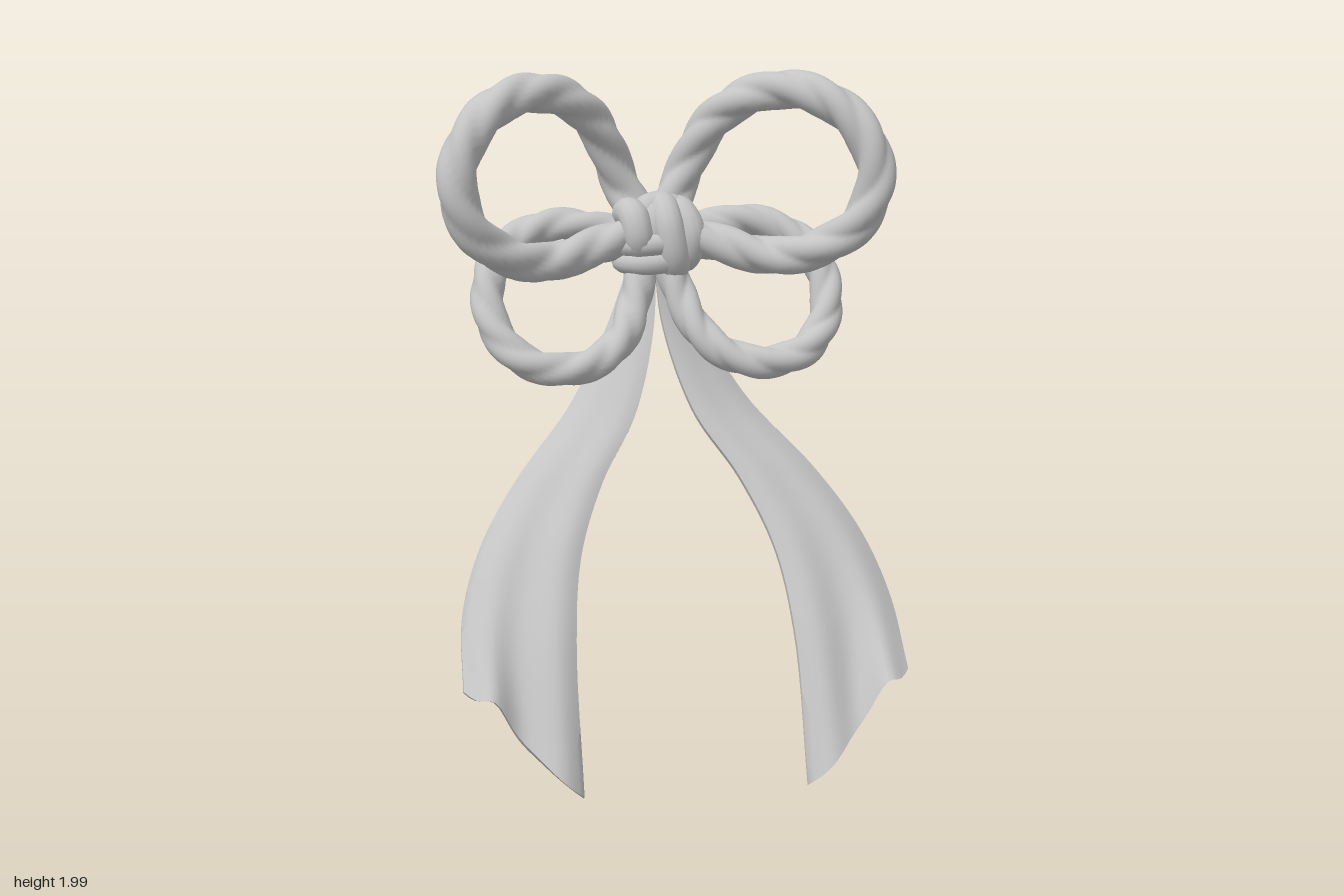
import * as THREE from 'three';
import { mergeVertices, toCreasedNormals } from 'three/addons/utils/BufferGeometryUtils.js';

const satin = new THREE.MeshStandardMaterial({ color: 0xc4c4c4 });
satin.name = 'pale grey satin';

const curveOf = (pts, s = 1) =>
  new THREE.CatmullRomCurve3(pts.map(([x, y, z]) => new THREE.Vector3(x * s, y, z)));

function mesh(name, geometry) {
  const m = new THREE.Mesh(geometry, satin);
  m.name = name;
  return m;
}

// Tube with rounded-off ends; lobes and turns make it a twisted rope
function cord(name, curve, radius, { segments = 40, sides = 12, lobes = 0, turns = 0, taper = 0.12 } = {}) {
  const g = new THREE.TubeGeometry(curve, segments, radius, sides, false);
  const pos = g.attributes.position, p = new THREE.Vector3();
  for (let i = 0; i <= segments; i++) {
    const t = i / segments, centre = curve.getPointAt(t);
    const end = Math.sqrt(Math.min(1, Math.min(t, 1 - t) / taper));
    for (let j = 0; j <= sides; j++) {
      const k = i * (sides + 1) + j;
      const phase = lobes * ((j / sides) * Math.PI + turns * t * Math.PI);
      const strand = lobes ? 0.87 + 0.22 * Math.abs(Math.cos(phase)) : 1;
      p.fromBufferAttribute(pos, k).sub(centre).multiplyScalar(strand * end).add(centre);
      pos.setXYZ(k, p.x, p.y, p.z);
    }
  }
  g.deleteAttribute('uv');
  g.deleteAttribute('normal');
  const smooth = mergeVertices(g, 1e-5);
  smooth.computeVertexNormals();
  return mesh(name, smooth);
}

// Hanging ribbon: a thin slab swept between an inner and an outer edge
function ribbon(name, s) {
  const inner = curveOf([[0, 1.46, -0.31], [0.012, 1.25, -0.245], [0.085, 1.0, -0.14], [0.2, 0.82, -0.035],
    [0.28, 0.63, 0.085], [0.31, 0.4, 0.215], [0.31, 0.01, 0.38]]);
  const outer = curveOf([[0.055, 1.46, -0.345], [0.14, 1.24, -0.315], [0.265, 1.02, -0.225], [0.445, 0.82, -0.1],
    [0.56, 0.65, 0.005], [0.62, 0.48, 0.12], [0.63, 0.3, 0.28]]);
  const rows = 40, cols = 20, ring = 2 * (cols + 1), verts = [], index = [];
  const quad = (a, b, c, d) => (s > 0 ? index.push(a, b, c, a, c, d) : index.push(a, c, b, a, d, c));
  for (let i = 0; i <= rows; i++) {
    const t = i / rows, a = inner.getPoint(t), b = outer.getPoint(t);
    for (let j = 0; j < ring; j++) {
      const front = j <= cols;
      const v = (front ? j : ring - 1 - j) / cols;
      const p = a.clone().lerp(b, v);
      // soft lengthwise folds, fainter behind, and the notch in the cut end
      const fold = Math.min(1, t * 1.6) * 0.03 * Math.sin(Math.PI * v) + t * t * 0.025 * Math.sin(3 * Math.PI * v);
      p.z += fold * (front ? 1 : 0.6);
      p.y += t ** 8 * 0.06 * Math.exp(-(((v - 0.74) / 0.14) ** 2));
      const half = (front ? 1 : -1) * (0.009 + 0.006 * Math.sin(Math.PI * v));
      p.y += half * 0.5;
      p.z += half * 0.85;
      // the right ribbon flares slightly wider and further back
      if (s < 0) { p.x += 0.022 * t * t; p.z -= (0.033 + 0.025 * v) * t ** 1.5; }
      verts.push(p.x * s, p.y, p.z);
    }
  }
  for (let i = 0; i < rows; i++) {
    for (let j = 0; j < ring; j++) {
      const n = (j + 1) % ring, r = i * ring, q = r + ring;
      quad(r + j, q + j, q + n, r + n);
    }
  }
  const last = rows * ring;
  for (let j = 0; j < cols; j++) {
    const k = ring - 1 - j;
    quad(j, j + 1, k - 1, k);
    quad(last + j, last + k, last + k - 1, last + j + 1);
  }
  const g = new THREE.BufferGeometry();
  g.setAttribute('position', new THREE.Float32BufferAttribute(verts, 3));
  g.setIndex(index);
  return mesh(name, toCreasedNormals(g, 0.9));
}

export function createModel() {
  const group = new THREE.Group();

  // Rope loops, two on each side
  const upper = [[0.03, 1.53, -0.32], [0.09, 1.66, -0.36], [0.17, 1.83, -0.315], [0.265, 1.915, -0.245],
    [0.38, 1.94, -0.185], [0.5, 1.9, -0.12], [0.585, 1.8, -0.075], [0.61, 1.68, -0.06],
    [0.565, 1.56, -0.075], [0.47, 1.485, -0.12], [0.34, 1.45, -0.19], [0.2, 1.48, -0.25], [0.04, 1.52, -0.3]];
  const lower = [[0.03, 1.48, -0.3], [0.065, 1.34, -0.25], [0.12, 1.225, -0.18], [0.2, 1.165, -0.14],
    [0.3, 1.145, -0.12], [0.42, 1.175, -0.13], [0.495, 1.26, -0.18], [0.51, 1.36, -0.235],
    [0.475, 1.455, -0.29], [0.4, 1.51, -0.33], [0.3, 1.54, -0.345], [0.18, 1.53, -0.34], [0.04, 1.5, -0.32]];
  for (const [side, s] of [['left', 1], ['right', -1]]) {
    const rope = { segments: 150, sides: 24, lobes: 3, turns: 3.5 * s, taper: 0.03 };
    group.add(
      cord(side + 'UpperLoop', curveOf(upper, s), 0.055, rope),
      cord(side + 'LowerLoop', curveOf(lower, s), 0.047, rope),
      ribbon(side + 'Ribbon', s)
    );
  }

  // Knot: a core with cords wrapped over its front
  const knot = new THREE.Group();
  knot.name = 'knot';
  const core = mesh('knotCore', new THREE.SphereGeometry(1, 24, 16));
  core.scale.set(0.09, 0.1, 0.08);
  core.position.set(0, 1.52, -0.305);
  knot.add(core);
  const wraps = [
    ['leftStrand', 0.045, [[0.06, 1.58, -0.35], [0.08, 1.575, -0.29], [0.1, 1.52, -0.255], [0.095, 1.46, -0.265], [0.07, 1.42, -0.31]]],
    ['centreStrand', 0.045, [[0.02, 1.57, -0.36], [0.025, 1.595, -0.3], [0.03, 1.55, -0.245], [0.045, 1.46, -0.235], [0.055, 1.42, -0.26], [0.05, 1.43, -0.32]]],
    ['rightStrand', 0.045, [[-0.07, 1.52, -0.36], [-0.08, 1.575, -0.31], [-0.07, 1.57, -0.26], [-0.06, 1.51, -0.24], [-0.045, 1.45, -0.28]]],
    ['topStrand', 0.042, [[-0.05, 1.54, -0.27], [-0.025, 1.585, -0.3], [0.03, 1.595, -0.31], [0.085, 1.565, -0.3], [0.1, 1.5, -0.3]]],
    ['upperBand', 0.033, [[-0.08, 1.49, -0.34], [-0.11, 1.485, -0.28], [-0.05, 1.485, -0.235], [0.03, 1.49, -0.24], [0.07, 1.49, -0.28]]],
    ['lowerBand', 0.033, [[-0.07, 1.45, -0.34], [-0.1, 1.435, -0.28], [-0.05, 1.43, -0.24], [0.03, 1.435, -0.245], [0.06, 1.44, -0.29]]]
  ];
  for (const [name, radius, pts] of wraps) knot.add(cord(name, curveOf(pts), radius));
  group.add(knot);

  return group;
}
